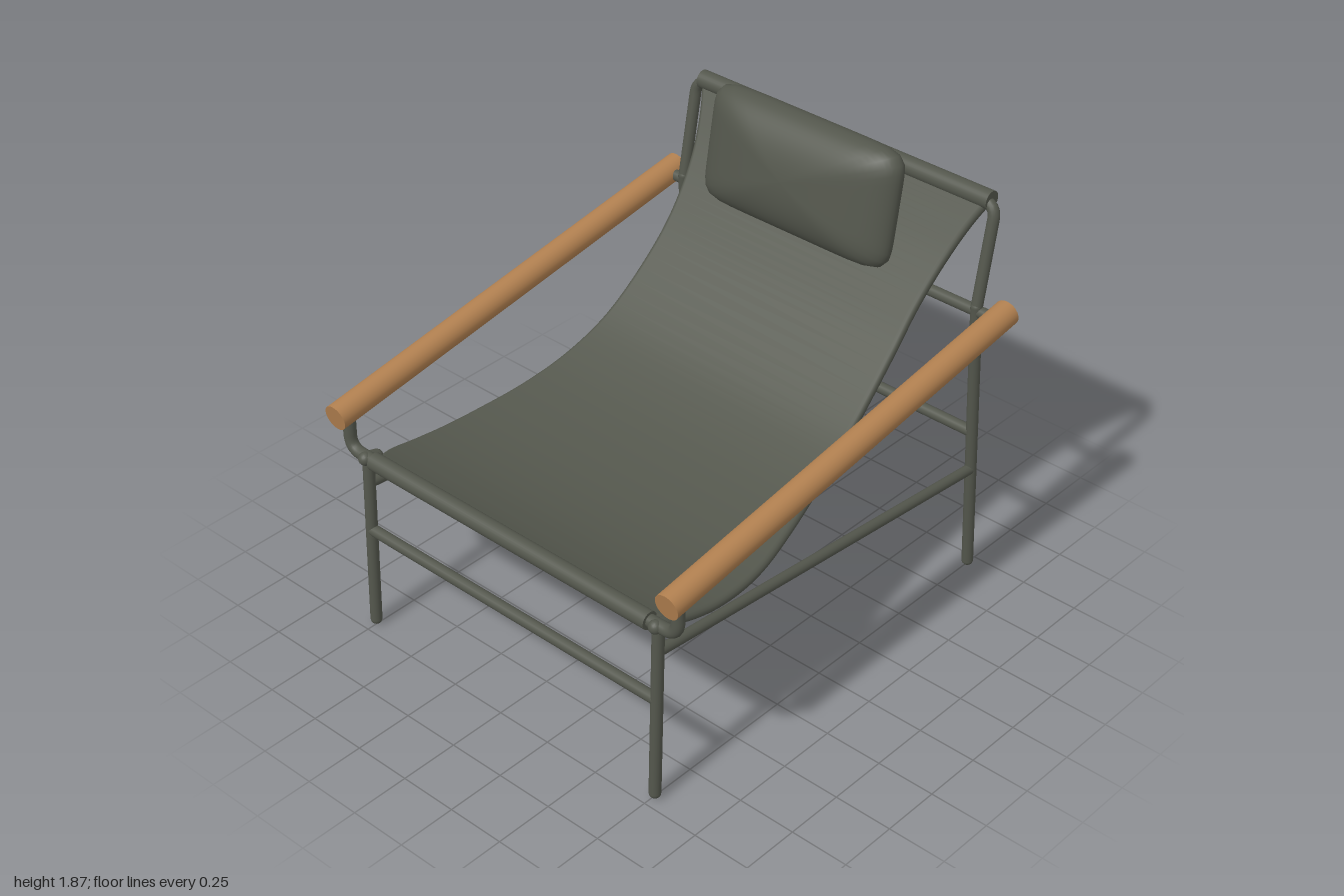
import * as THREE from 'three';

const V = (x, y, z) => new THREE.Vector3(x, y, z);

export function createModel() {
  const group = new THREE.Group();
  const olive = new THREE.MeshStandardMaterial({ color: 0x53564c });
  olive.name = 'olive grey';
  const wood = new THREE.MeshStandardMaterial({ color: 0xb07f4f });
  wood.name = 'oak';

  const add = (name, geometry, material = olive) => {
    const mesh = new THREE.Mesh(geometry, material);
    mesh.name = name;
    group.add(mesh);
    return mesh;
  };

  // Straight rod between two points, with round or flat ends
  const rod = (name, a, b, r, flat = false, material = olive) => {
    const len = a.distanceTo(b);
    const mesh = add(name, flat ? new THREE.CylinderGeometry(r, r, len, 28)
      : new THREE.CapsuleGeometry(r, len, 6, 16), material);
    mesh.position.copy(a).lerp(b, 0.5);
    mesh.quaternion.setFromUnitVectors(V(0, 1, 0), b.clone().sub(a).normalize());
    return mesh;
  };

  // Bent tube: straight runs joined by rounded corners
  const bentTube = (name, pts, r, bend) => {
    const path = new THREE.CurvePath();
    let from = pts[0];
    for (let i = 1; i < pts.length - 1; i++) {
      const p = pts[i];
      const before = p.clone().add(pts[i - 1].clone().sub(p).setLength(bend));
      const after = p.clone().add(pts[i + 1].clone().sub(p).setLength(bend));
      path.add(new THREE.LineCurve3(from, before));
      path.add(new THREE.QuadraticBezierCurve3(before, p, after));
      from = after;
    }
    path.add(new THREE.LineCurve3(from, pts[pts.length - 1]));
    return add(name, new THREE.TubeGeometry(path, 160, r, 16));
  };

  const R = 0.024, X = 0.755;

  for (const s of [-1, 1]) {
    // Legs, side stretchers and wooden armrests
    rod('frontLeg', V(s * X, R, 0.948), V(s * X, 0.8, 0.925), R);
    rod('rearLeg', V(s * X, R, -0.942), V(s * X, 1.28, -0.875), R);
    rod('sideStretcher', V(s * X, 0.68, 0.925), V(s * X, 0.497, -0.915), 0.022);
    rod('armrest', V(s * 0.853, 0.968, 0.99), V(s * 0.853, 1.267, -0.94), 0.054, true, wood);
    // Clamp where the seat bar meets the front leg
    rod('clamp', V(s * X, 0.8, 0.94), V(s * X, 0.785, 0.885), 0.028);
  }

  // Rear upper hoop that carries the top of the sling
  bentTube('backHoop', [V(-X, 1.27, -0.875), V(-X, 1.695, -0.955),
    V(X, 1.695, -0.955), V(X, 1.27, -0.875)], R, 0.06);

  // Front bar turned up into the armrests
  bentTube('frontBar', [V(-0.85, 0.98, 0.925), V(-0.85, 0.8, 0.927),
    V(0.85, 0.8, 0.927), V(0.85, 0.98, 0.925)], 0.026, 0.065);

  // Cross rails
  rod('armrestRail', V(-0.84, 1.26, -0.88), V(0.84, 1.26, -0.88), R);
  rod('rearRail', V(-X, 0.68, -0.908), V(X, 0.68, -0.908), R);
  rod('frontRail', V(-X, 0.46, 0.935), V(X, 0.46, 0.935), R);

  // Hems of the sling wrapped round the bars
  rod('topHem', V(-0.73, 1.703, -0.961), V(0.73, 1.703, -0.961), 0.039, true);
  rod('frontHem', V(-0.717, 0.8, 0.929), V(0.717, 0.8, 0.929), 0.037, true);

  add('sling', slingGeometry());

  // Head cushion: sphere squared off in outline, lens-shaped in depth
  const cushion = new THREE.SphereGeometry(1, 64, 32).rotateX(Math.PI / 2);
  const pos = cushion.attributes.position;
  for (let i = 0; i < pos.count; i++) {
    const x = pos.getX(i), y = pos.getY(i), r = Math.hypot(x, y);
    const n = 9;
    const k = r < 1e-5 ? 1
      : Math.pow(Math.pow(Math.abs(x / r), n) + Math.pow(Math.abs(y / r), n), -1 / n);
    pos.setXYZ(i, x * k * 0.465, y * k * 0.247, pos.getZ(i) * 0.14);
  }
  cushion.computeVertexNormals();
  const pillow = add('headCushion', cushion);
  pillow.position.set(-0.013, 1.625, -0.738);
  pillow.rotation.x = -0.17;

  // Cushion straps hanging behind the sling
  for (const x of [-0.36, 0.34]) {
    const strap = add('cushionStrap', new THREE.BoxGeometry(0.055, 0.2, 0.018));
    strap.position.set(x, 1.425, -0.857);
    strap.rotation.x = 0.21;
  }

  return group;
}

// Sling: rounded flat section swept from the top bar to the front bar
function slingGeometry() {
  // Each point is half width, height, depth
  const curve = new THREE.CatmullRomCurve3([
    V(0.73, 1.70, -0.965), V(0.685, 1.60, -0.902), V(0.645, 1.47, -0.815),
    V(0.618, 1.305, -0.687), V(0.617, 1.15, -0.55), V(0.637, 0.93, -0.286),
    V(0.668, 0.823, -0.07), V(0.712, 0.757, 0.14), V(0.757, 0.72, 0.355),
    V(0.775, 0.714, 0.516), V(0.78, 0.729, 0.676), V(0.765, 0.762, 0.82),
    V(0.717, 0.795, 0.92),
  ]);
  const rows = 72, arc = 6, t = 0.021, ring = 2 * (arc + 1);
  const verts = [], index = [];
  for (let i = 0; i <= rows; i++) {
    const p = curve.getPoint(i / rows), d = curve.getTangent(i / rows);
    const len = Math.hypot(d.y, d.z), ny = d.z / len, nz = -d.y / len;
    for (let j = 0; j < ring; j++) {
      const side = j <= arc ? 1 : -1;
      const a = -Math.PI / 2 + (side > 0 ? j : j - 1) * Math.PI / arc;
      const x = side * (p.x - t) + Math.cos(a) * t, h = Math.sin(a) * t;
      verts.push(x, p.y + ny * h, p.z + nz * h);
      if (i < rows) {
        const k = (j + 1) % ring, A = i * ring + j, B = i * ring + k;
        index.push(A, B, A + ring, B, B + ring, A + ring);
      }
    }
  }
  const g = new THREE.BufferGeometry();
  g.setAttribute('position', new THREE.Float32BufferAttribute(verts, 3));
  g.setIndex(index);
  g.computeVertexNormals();
  return g;
}
